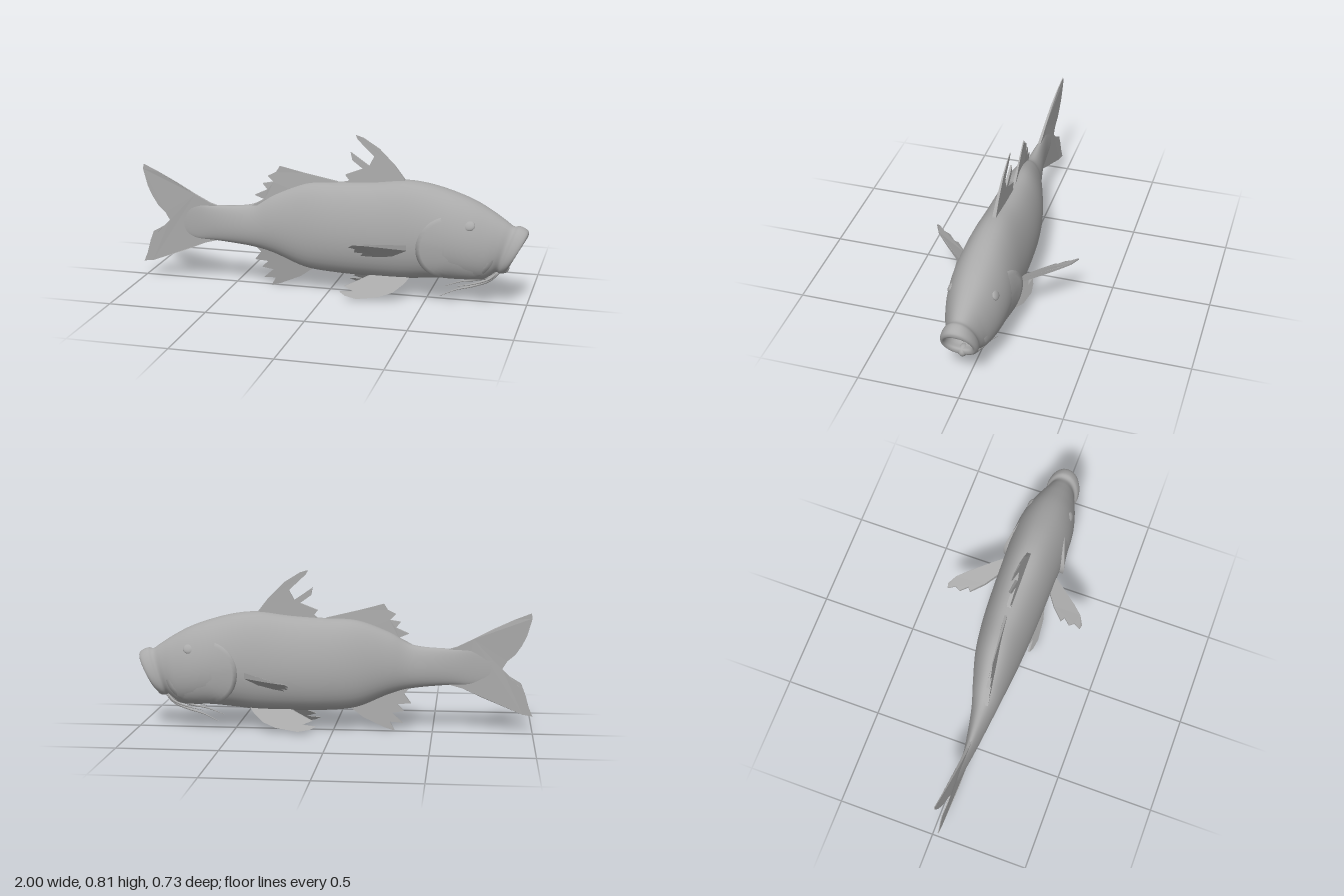
import * as THREE from 'three';

const skin = new THREE.MeshStandardMaterial({ color: 0xaaaaaa, side: THREE.DoubleSide });
skin.name = 'grey skin';

// Cross-sections from tail root to lips and back into the mouth:
// x, forward lean, bottom y, top y, half width, centre z
const sections = [
  [-0.80, 0, 0.27, 0.37, 0.002, 0.047], [-0.70, 0, 0.235, 0.415, 0.012, 0.055],
  [-0.58, 0, 0.232, 0.418, 0.029, 0.057], [-0.40, 0, 0.215, 0.435, 0.057, 0.049],
  [-0.28, 0, 0.185, 0.50, 0.082, 0.037], [-0.12, 0, 0.12, 0.56, 0.112, 0.020],
  [0.04, 0, 0.102, 0.57, 0.129, 0.012], [0.22, 0, 0.098, 0.582, 0.138, 0.010],
  [0.38, 0, 0.10, 0.60, 0.142, 0.010], [0.50, 0, 0.112, 0.59, 0.146, 0.010],
  [0.62, 0, 0.122, 0.56, 0.147, 0.010], [0.72, 0.01, 0.12, 0.52, 0.135, 0.010],
  [0.80, 0.02, 0.125, 0.472, 0.113, 0.011], [0.85, 0.035, 0.145, 0.43, 0.092, 0.013],
  [0.885, 0.04, 0.168, 0.403, 0.077, 0.014], [0.91, 0.045, 0.163, 0.405, 0.087, 0.015],
  [0.935, 0.05, 0.17, 0.392, 0.088, 0.015], [0.95, 0.048, 0.188, 0.375, 0.079, 0.015],
  [0.943, 0.045, 0.212, 0.35, 0.067, 0.015], [0.90, 0.04, 0.215, 0.345, 0.064, 0.015],
  [0.83, 0.02, 0.24, 0.33, 0.045, 0.015], [0.80, 0.01, 0.28, 0.29, 0.005, 0.015],
];
const along = new THREE.CatmullRomCurve3(
  sections.map(s => new THREE.Vector3(s[0], s[1], s[5])), false, 'catmullrom');
const girth = new THREE.CatmullRomCurve3(
  sections.map(s => new THREE.Vector3(s[2], s[3], s[4])), false, 'catmullrom');

function sectionAt(t) {
  const a = along.getPoint(t), g = girth.getPoint(t);
  return { x: a.x, lean: a.y, z: a.z, y: (g.x + g.y) / 2, h: (g.y - g.x) / 2, w: Math.max(g.z, 0.001) };
}

// Egg-shaped profile, widest a little below the middle
const bulge = (c, s) => Math.sign(c) * Math.abs(c) ** 0.9 * (1 - 0.12 * s);

// Grid surface, closed in its second direction
function surface(nu, nv, point, flip = false) {
  const pos = [], index = [];
  for (let i = 0; i <= nu; i++)
    for (let j = 0; j < nv; j++) pos.push(...point(i / nu, (j / nv) * Math.PI * 2));
  for (let i = 0; i < nu; i++)
    for (let j = 0; j < nv; j++) {
      const a = i * nv + j, b = a + nv, k = (j + 1) % nv;
      const c = b - j + k, d = a - j + k;
      index.push(...(flip ? [a, c, b, a, d, c] : [a, b, c, a, c, d]));
    }
  const geo = new THREE.BufferGeometry();
  geo.setAttribute('position', new THREE.Float32BufferAttribute(pos, 3));
  geo.setIndex(index);
  geo.computeVertexNormals();
  return geo;
}

// Skin position on one side of the head at a given x and y
const samples = Array.from({ length: 401 }, (_, i) => sectionAt(i / 400));
function sideZ(x, y, side, offset) {
  const s = samples.find(p => p.x - 0 >= x);
  const sn = THREE.MathUtils.clamp((y - s.y) / s.h, -1, 1);
  return s.z + side * (s.w * bulge(Math.sqrt(1 - sn * sn), sn) + offset);
}

// Thin plate from an outline, placed by a rule; s is -0.5 or 0.5 across its thickness
function finGeometry(points, place) {
  const shape = new THREE.Shape(points.map(p => new THREE.Vector2(...p)));
  const geo = new THREE.ExtrudeGeometry(shape, { depth: 1, bevelEnabled: false });
  const pos = geo.attributes.position;
  for (let i = 0; i < pos.count; i++)
    pos.setXYZ(i, ...place(pos.getX(i), pos.getY(i), pos.getZ(i) - 0.5));
  geo.computeVertexNormals();
  return geo;
}

export function createModel() {
  const fish = new THREE.Group();
  fish.name = 'fish';
  const add = (name, geo) => {
    const mesh = new THREE.Mesh(geo, skin);
    mesh.name = name;
    fish.add(mesh);
    return mesh;
  };

  // Body, lips and mouth cavity in one smooth loft
  add('body', surface(126, 40, (t, a) => {
    const s = sectionAt(t), c = Math.cos(a), sn = Math.sin(a);
    return [s.x + s.lean * sn, s.y + s.h * sn, s.z + s.w * bulge(c, sn)];
  }));

  // Tail fin, bending slightly towards the back
  add('tailFin', finGeometry([
    [-0.56, 0.41], [-0.62, 0.428], [-0.70, 0.468], [-0.80, 0.522], [-0.90, 0.57], [-0.985, 0.605],
    [-0.99, 0.58], [-0.965, 0.49], [-0.94, 0.44], [-0.91, 0.395], [-0.87, 0.36], [-0.845, 0.32],
    [-0.88, 0.285], [-0.94, 0.25], [-0.96, 0.20], [-0.98, 0.13], [-1, 0.083], [-0.95, 0.09],
    [-0.85, 0.13], [-0.75, 0.17], [-0.65, 0.215], [-0.56, 0.24],
  ], (x, y, s) => [x, y, 0.057 - 0.15 * (x + 0.6) ** 2 + s * (0.004 + 0.03 * Math.max(0, x + 0.95))]));

  // Ragged fins on the back and belly
  add('frontDorsalFin', finGeometry([
    [0.39, 0.58], [0.38, 0.605], [0.33, 0.67], [0.25, 0.75], [0.17, 0.80], [0.13, 0.812],
    [0.14, 0.79], [0.225, 0.71], [0.20, 0.66], [0.105, 0.725], [0.115, 0.685], [0.17, 0.645],
    [0.08, 0.61], [0.10, 0.585], [0.07, 0.56],
  ], (x, y, s) => [x, y, 0.012 - 0.03 * (y - 0.6) + s * Math.max(0.004, 0.02 - 0.075 * (y - 0.58))]));

  add('rearDorsalFin', finGeometry([
    [0.05, 0.55], [0.04, 0.572], [-0.125, 0.61], [-0.25, 0.642], [-0.27, 0.61], [-0.31, 0.59],
    [-0.28, 0.56], [-0.335, 0.55], [-0.31, 0.52], [-0.375, 0.49], [-0.325, 0.47], [-0.39, 0.435],
    [-0.30, 0.44], [-0.15, 0.51],
  ], (x, y, s) => [x, y, 0.018 - 0.12 * x + s * Math.max(0.005, 0.025 - 0.18 * Math.max(0, y - 0.51))]));

  add('analFin', finGeometry([
    [-0.08, 0.14], [-0.09, 0.11], [-0.15, 0.065], [-0.26, 0.015], [-0.31, 0], [-0.285, 0.045],
    [-0.35, 0.04], [-0.295, 0.09], [-0.355, 0.10], [-0.32, 0.135], [-0.39, 0.14], [-0.355, 0.185],
    [-0.38, 0.215], [-0.22, 0.20],
  ], (x, y, s) => [x, y, 0.012 + 0.12 * y + s * (0.005 + 0.11 * y)]));

  for (const side of [1, -1]) {
    const label = side > 0 ? 'right' : 'left';

    // Pelvic fins, splayed outwards below the belly
    add(label + 'PelvicFin', finGeometry([
      [0.42, 0.115], [0.40, 0.09], [0.35, 0.05], [0.28, 0.025], [0.17, 0.01], [0.11, 0.02],
      [0.08, 0.035], [0.15, 0.042], [0.10, 0.06], [0.18, 0.095], [0.25, 0.13], [0.34, 0.14],
    ], (x, y, s) => [x, y, 0.018 + side * (0.04 + 0.75 * (0.13 - y)) + s * (0.006 + 0.08 * y)]));

    // Pectoral fins, reaching out and back
    const rise = side > 0 ? 0.3 : 0.03;
    add(label + 'PectoralFin', finGeometry([
      [0.45, 0.10], [0.43, 0.14], [0.37, 0.21], [0.30, 0.29], [0.25, 0.34], [0.20, 0.366],
      [0.18, 0.36], [0.205, 0.325], [0.195, 0.30], [0.23, 0.265], [0.215, 0.25], [0.28, 0.19],
      [0.36, 0.135], [0.37, 0.10],
    ], (x, z, s) => [x,
      0.295 + rise * (z - 0.15) - 0.45 * Math.max(0, 0.57 - x - z) + s * Math.max(0.005, 0.03 - 0.1 * (z - 0.12)),
      0.002 + side * z]));

    // Gill cover with a raised rear edge
    add(label + 'GillCover', surface(10, 40, (t, a) => {
      const r = Math.min(1, t / 0.9), c = Math.cos(a), sn = Math.sin(a);
      const x = 0.66 + 0.19 * r * Math.sign(c) * Math.abs(c) ** 0.85;
      const y = 0.30 + 0.165 * r * sn;
      const lift = THREE.MathUtils.clamp(0.2 - 0.9 * c - 0.4 * sn, 0, 1);
      const offset = t > 0.95 ? -0.02 : 0.024 * lift * r * r - 0.003;
      return [x, y, sideZ(x, y, side, offset)];
    }, side < 0));

    // Eyes, low bumps on the head
    const eye = add(label + 'Eye', new THREE.SphereGeometry(1, 20, 14));
    eye.scale.set(0.03, 0.026, 0.012);
    eye.position.set(0.72, 0.42, sideZ(0.72, 0.42, side, -0.004));
    eye.rotation.x = -side * 0.5;

    // Whiskers trailing from the chin
    const whiskers = [
      [[0.87, 0.175, 0], [0.82, 0.13, 0.03], [0.74, 0.10, 0.05], [0.66, 0.08, 0.065], [0.58, 0.045, 0.08]],
      [[0.86, 0.17, 0], [0.82, 0.14, 0.04], [0.75, 0.115, 0.055], [0.66, 0.095, 0.06]],
    ];
    whiskers.forEach((path, i) => {
      const curve = new THREE.CatmullRomCurve3(
        path.map(([x, y, z]) => new THREE.Vector3(x, y, 0.018 + side * z)));
      add(label + 'Whisker' + (i + 1), surface(20, 8, (t, a) => {
        const p = curve.getPoint(t), r = 0.009 * (1 - t) + 0.0015;
        return [p.x, p.y + r * Math.sin(a), p.z + r * Math.cos(a)];
      }, true));
    });
  }

  // Small chin lump behind the lower lip
  const chin = add('chin', new THREE.SphereGeometry(1, 16, 12));
  chin.scale.set(0.035, 0.03, 0.024);
  chin.position.set(0.875, 0.19, 0.013);

  return fish;
}
